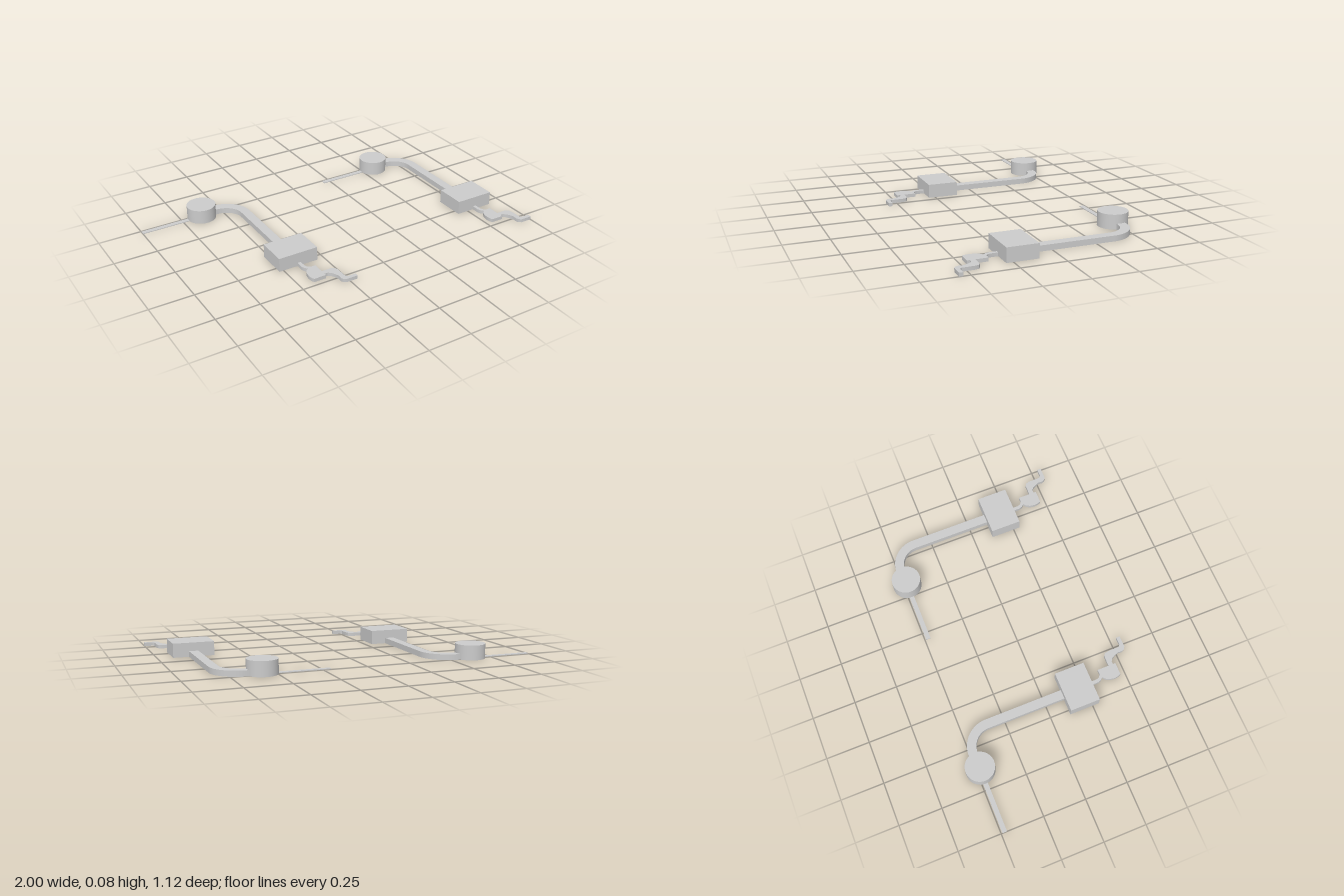
import * as THREE from 'three';
import { toCreasedNormals } from 'three/addons/utils/BufferGeometryUtils.js';

const material = new THREE.MeshStandardMaterial({ color: 0xcccccc });

function part(name, geometry, x = 0, y = 0, z = 0) {
  const mesh = new THREE.Mesh(geometry, material);
  mesh.name = name;
  mesh.position.set(x, y, z);
  return mesh;
}

// Stands a plan outline (shape x = x, shape y = -z) up from the ground
function slab(shape, height) {
  const g = new THREE.ExtrudeGeometry(shape, { depth: height, bevelEnabled: false, curveSegments: 20 });
  g.rotateX(-Math.PI / 2);
  return toCreasedNormals(g, 0.6);
}

// Wide channel leaving the round tank and bending a quarter turn forward
function channelShape() {
  const s = new THREE.Shape();
  s.moveTo(-0.6, 0.508);
  s.lineTo(-0.54, 0.508);
  s.absarc(-0.54, 0.35, 0.16, Math.PI / 2, 0, true);
  s.lineTo(-0.38, -0.15);
  s.lineTo(-0.433, -0.15);
  s.lineTo(-0.433, 0.35);
  s.absarc(-0.54, 0.35, 0.107, 0, Math.PI / 2, false);
  s.lineTo(-0.6, 0.455);
  s.closePath();
  return s;
}

// Winding outlet with a small pool, given as x, z corners
function outletShape() {
  const points = [
    [-0.415, 0.27], [-0.415, 0.335], [-0.408, 0.352], [-0.395, 0.366], [-0.41, 0.378], [-0.422, 0.4],
    [-0.427, 0.43], [-0.424, 0.452], [-0.417, 0.47], [-0.345, 0.47], [-0.345, 0.455], [-0.327, 0.455],
    [-0.312, 0.466], [-0.3, 0.487], [-0.291, 0.51], [-0.293, 0.535], [-0.287, 0.55], [-0.272, 0.56],
    [-0.205, 0.56], [-0.205, 0.538], [-0.252, 0.538], [-0.262, 0.527], [-0.263, 0.455], [-0.269, 0.437],
    [-0.285, 0.427], [-0.345, 0.427], [-0.345, 0.358], [-0.372, 0.358], [-0.388, 0.348], [-0.395, 0.33],
    [-0.395, 0.27],
  ];
  return new THREE.Shape(points.map(([x, z]) => new THREE.Vector2(x, -z)));
}

function createUnit() {
  const unit = new THREE.Group();
  unit.add(
    part('inletStrip', new THREE.BoxGeometry(0.37, 0.004, 0.027), -0.815, 0.002, -0.479),
    part('roundTank', new THREE.CylinderGeometry(0.084, 0.084, 0.083, 40), -0.63, 0.0415, -0.477),
    part('bentChannel', slab(channelShape(), 0.032)),
    part('squareTank', new THREE.BoxGeometry(0.234, 0.08, 0.176), -0.408, 0.04, 0.2),
    part('windingOutlet', slab(outletShape(), 0.02)),
  );
  return unit;
}

export function createModel() {
  const model = new THREE.Group();
  // Two identical units side by side
  ['rightUnit', 'leftUnit'].forEach((name, i) => {
    const unit = createUnit();
    unit.name = name;
    unit.position.x = i * 1.205;
    model.add(unit);
  });
  return model;
}
